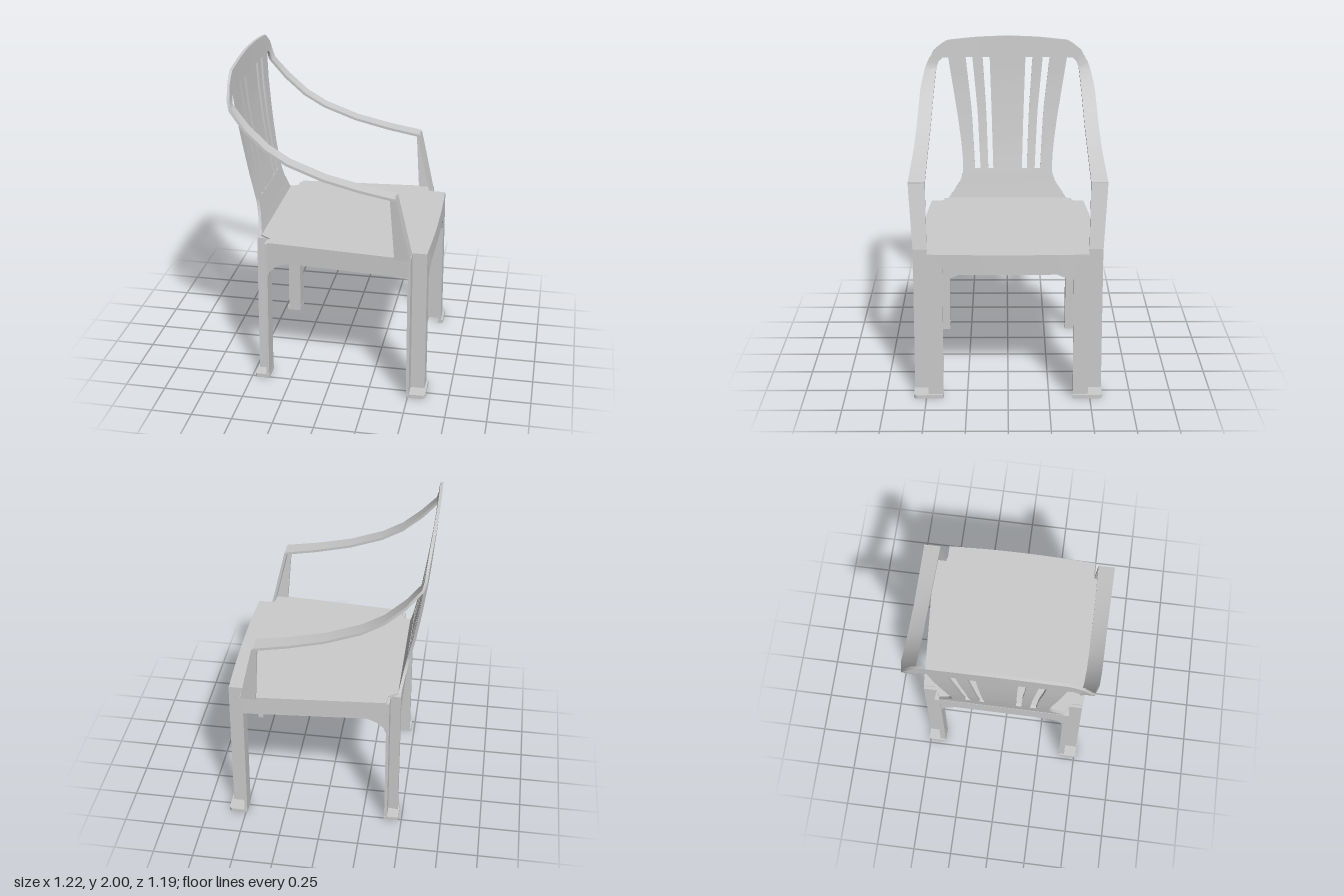
import * as THREE from 'three';
import { toCreasedNormals } from 'three/addons/utils/BufferGeometryUtils.js';

const material = new THREE.MeshStandardMaterial({ color: 0xcccccc, side: THREE.DoubleSide });
const V = (x, y, z) => new THREE.Vector3(x, y, z);

function makeMesh(geometry, name) {
  const mesh = new THREE.Mesh(toCreasedNormals(geometry, 0.5), material);
  mesh.name = name;
  return mesh;
}

// Closed sheet of thickness t between two rails of points
function sheet(name, a, b, t = 0.018) {
  const pos = [], index = [], n = a.length;
  for (let i = 0; i < n; i++) {
    const p = Math.max(i - 1, 0), q = Math.min(i + 1, n - 1);
    const along = a[q].clone().add(b[q]).sub(a[p]).sub(b[p]);
    const normal = along.cross(b[i].clone().sub(a[i])).normalize().multiplyScalar(t / 2);
    const ring = [a[i].clone().add(normal), b[i].clone().add(normal),
      b[i].clone().sub(normal), a[i].clone().sub(normal)];
    ring.forEach(v => pos.push(v.x, v.y, v.z));
  }
  for (let i = 0; i < n - 1; i++) {
    for (let k = 0; k < 4; k++) {
      const p = i * 4 + k, q = i * 4 + (k + 1) % 4;
      index.push(p, p + 4, q, q, p + 4, q + 4);
    }
  }
  const e = (n - 1) * 4;
  index.push(0, 1, 2, 0, 2, 3, e, e + 2, e + 1, e, e + 3, e + 2);
  const g = new THREE.BufferGeometry();
  g.setAttribute('position', new THREE.Float32BufferAttribute(pos, 3));
  g.setIndex(index);
  return makeMesh(g, name);
}

// Upright prism over a plan outline of [x, z]; splay spreads it towards the floor
function prism(name, plan, y0, y1, splay = 0) {
  const shape = new THREE.Shape(plan.map(([x, z]) => new THREE.Vector2(x, -z)));
  const g = new THREE.ExtrudeGeometry(shape, { depth: y1 - y0, bevelEnabled: false });
  g.rotateX(-Math.PI / 2).translate(0, y0, 0);
  const p = g.attributes.position;
  for (let i = 0; i < p.count; i++) {
    const d = splay * (1 - p.getY(i) / 0.94);
    p.setX(i, p.getX(i) + Math.sign(p.getX(i)) * d);
    p.setZ(i, p.getZ(i) + Math.sign(p.getZ(i)) * d);
  }
  return makeMesh(g, name);
}

// Linear lookup in a list of [input, output]
function lookup(table, v) {
  for (let i = 1; i < table.length; i++) {
    const [v0, r0] = table[i - 1], [v1, r1] = table[i];
    if (v <= v1 || i === table.length - 1) return r0 + (r1 - r0) * (v - v0) / (v1 - v0);
  }
}

const range = (a, b, n) => Array.from({ length: n + 1 }, (_, i) => a + (b - a) * i / n);

// Leaning, slightly bowed surface of the backrest
const lean = [[0.94, -0.455], [1.1, -0.485], [1.3, -0.525], [1.5, -0.555], [1.7, -0.58], [1.86, -0.593], [2, -0.604]];
const onBack = (z, y) => V(lookup(lean, y) + 0.03 * z * z, y, z);

// Edges of the backrest: outer side, and both sides of the slots, as [y, z]
const waist = [[0.94, 0.388], [1.05, 0.315], [1.1, 0.298], [1.13, 0.295], [1.25, 0.3], [1.45, 0.325], [1.86, 0.388]];
const slotEdges = [
  [[1.13, 0.095], [1.5, 0.105], [1.86, 0.117]],
  [[1.13, 0.128], [1.5, 0.14], [1.86, 0.163]],
  [[1.13, 0.18], [1.5, 0.197], [1.86, 0.23]],
  [[1.13, 0.216], [1.5, 0.235], [1.86, 0.275]],
];

function createBackrest() {
  const group = new THREE.Group();
  group.name = 'backrest';
  const strip = (name, ys, lo, hi) => group.add(sheet(name,
    ys.map(y => onBack(lo(y), y)), ys.map(y => onBack(hi(y), y))));
  const at = (edge, s = 1) => y => s * lookup(edge, y);

  // Solid lower band, central splat and slats between the slots
  strip('lowerBand', [0.93, 0.94, 1, 1.05, 1.1, 1.13], at(waist, -1), at(waist));
  const ys = range(1.13, 1.86, 9);
  strip('centreSplat', ys, at(slotEdges[0], -1), at(slotEdges[0]));
  for (const s of [1, -1]) {
    strip('innerSlat', ys, at(slotEdges[1], s), at(slotEdges[2], s));
    strip('outerSlat', ys, at(slotEdges[3], s), at(waist, s));
  }
  // Arched top rail
  const crest = [[0, 2], [0.2, 1.992], [0.39, 1.973]];
  const zs = range(-0.39, 0.39, 12);
  group.add(sheet('topRail', zs.map(z => onBack(z, 1.86)),
    zs.map(z => onBack(z, lookup(crest, Math.abs(z))))));
  return group;
}

// Ribbon that turns from the top rail down into the armrest
function createArm(s) {
  const group = new THREE.Group();
  group.name = s > 0 ? 'armPositiveZ' : 'armNegativeZ';
  const corner = [[0.39, 1.86, 0.39, 1.973], [0.425, 1.858, 0.43, 1.95], [0.45, 1.835, 0.48, 1.91], [0.463, 1.8, 0.525, 1.83]];
  const inner = corner.map(([z, y]) => onBack(s * z, y));
  const outer = corner.map(([, , z, y]) => onBack(s * z, y));
  // Armrest sections: x, y, inner z, outer z
  const sections = [
    [-0.57, 1.78, 0.468, 0.543], [-0.48, 1.67, 0.479, 0.567], [-0.36, 1.56, 0.487, 0.576],
    [-0.23, 1.483, 0.491, 0.58], [-0.02, 1.405, 0.495, 0.584], [0.2, 1.353, 0.495, 0.59], [0.4, 1.318, 0.493, 0.594],
  ];
  for (const [x, y, zi, zo] of sections) {
    inner.push(V(x, y, s * zi));
    outer.push(V(x, y, s * zo));
  }
  group.add(sheet('armrest', inner, outer, 0.016));

  // Front support: a sloping front sheet and a tapered outer sheet
  group.add(sheet('supportFront', [V(0.398, 1.32, s * 0.493), V(0.489, 0.93, s * 0.485)],
    [V(0.398, 1.32, s * 0.594), V(0.489, 0.93, s * 0.568)]));
  group.add(sheet('supportSide', [V(0.374, 1.318, s * 0.585), V(0.402, 0.93, s * 0.557)],
    [V(0.405, 1.318, s * 0.585), V(0.495, 0.93, s * 0.559)]));
  return group;
}

function createSeat() {
  const group = new THREE.Group();
  group.name = 'seatFrame';
  const frontX = z => 0.585 + 0.013 * (1 - (z / 0.48) ** 2);
  // The sides draw in towards the back
  const side = [[0.5, 0.48], [0.5, 0.568], [-0.382, 0.502], [-0.382, 0.435], [-0.45, 0.388]];
  const sideZ = x => 0.493 + 0.066 * (x + 0.382) / 0.882;
  const plan = [
    ...range(-0.48, 0.48, 8).map(z => [frontX(z), z]),
    ...side, ...side.map(([x, z]) => [x, -z]).reverse(),
  ];
  group.add(prism('seat', plan, 0.918, 0.94));

  // Aprons whose lower edge curves down into the legs
  const arch = [[0, 0.815], [0.29, 0.815], [0.345, 0.79], [0.375, 0.765], [0.388, 0.72]];
  const zs = [-0.388, -0.375, -0.345, -0.29, -0.15, 0, 0.15, 0.29, 0.345, 0.375, 0.388];
  for (const [name, fx] of [['frontApron', z => frontX(z) - 0.009], ['rearApron', () => -0.452]]) {
    group.add(sheet(name, zs.map(z => V(fx(z), lookup(arch, Math.abs(z)), z)), zs.map(z => V(fx(z), 0.935, z))));
  }
  const low = [[-0.382, 0.7], [-0.37, 0.745], [-0.33, 0.785], [-0.265, 0.815], [0.498, 0.815]];
  for (const s of [1, -1]) {
    group.add(sheet('sideApron', low.map(([x, y]) => V(x, y, s * sideZ(x))),
      low.map(([x]) => V(x, 0.935, s * sideZ(x)))));
  }
  return group;
}

// Thin folded legs with an open outer corner, each on a flat foot
function createLegs() {
  const group = new THREE.Group();
  group.name = 'legs';
  for (const s of [1, -1]) {
    const mirror = pts => pts.map(([x, z]) => [x, s * z]);
    // Front: stepped section
    group.add(prism('frontLeg', mirror([[0.587, 0.388], [0.587, 0.48], [0.5, 0.48], [0.5, 0.567],
      [0.482, 0.567], [0.482, 0.462], [0.569, 0.462], [0.569, 0.388]]), 0, 0.935, 0.008));
    group.add(prism('frontFoot', mirror([[0.575, 0.395], [0.608, 0.395], [0.608, 0.56], [0.595, 0.577],
      [0.492, 0.577], [0.492, 0.47], [0.575, 0.47]]), 0, 0.024));
    // Rear: angle section
    group.add(prism('rearLeg', mirror([[-0.462, 0.388], [-0.462, 0.424], [-0.4, 0.418], [-0.4, 0.5],
      [-0.382, 0.5], [-0.382, 0.388]]), 0, 0.93, 0.008));
    group.add(prism('rearFoot', mirror([[-0.388, 0.395], [-0.48, 0.395], [-0.48, 0.498], [-0.472, 0.51],
      [-0.388, 0.51]]), 0, 0.024));
  }
  return group;
}

export function createModel() {
  const chair = new THREE.Group();
  chair.name = 'chair';
  chair.add(createSeat(), createLegs(), createBackrest(), createArm(1), createArm(-1));
  return chair;
}
